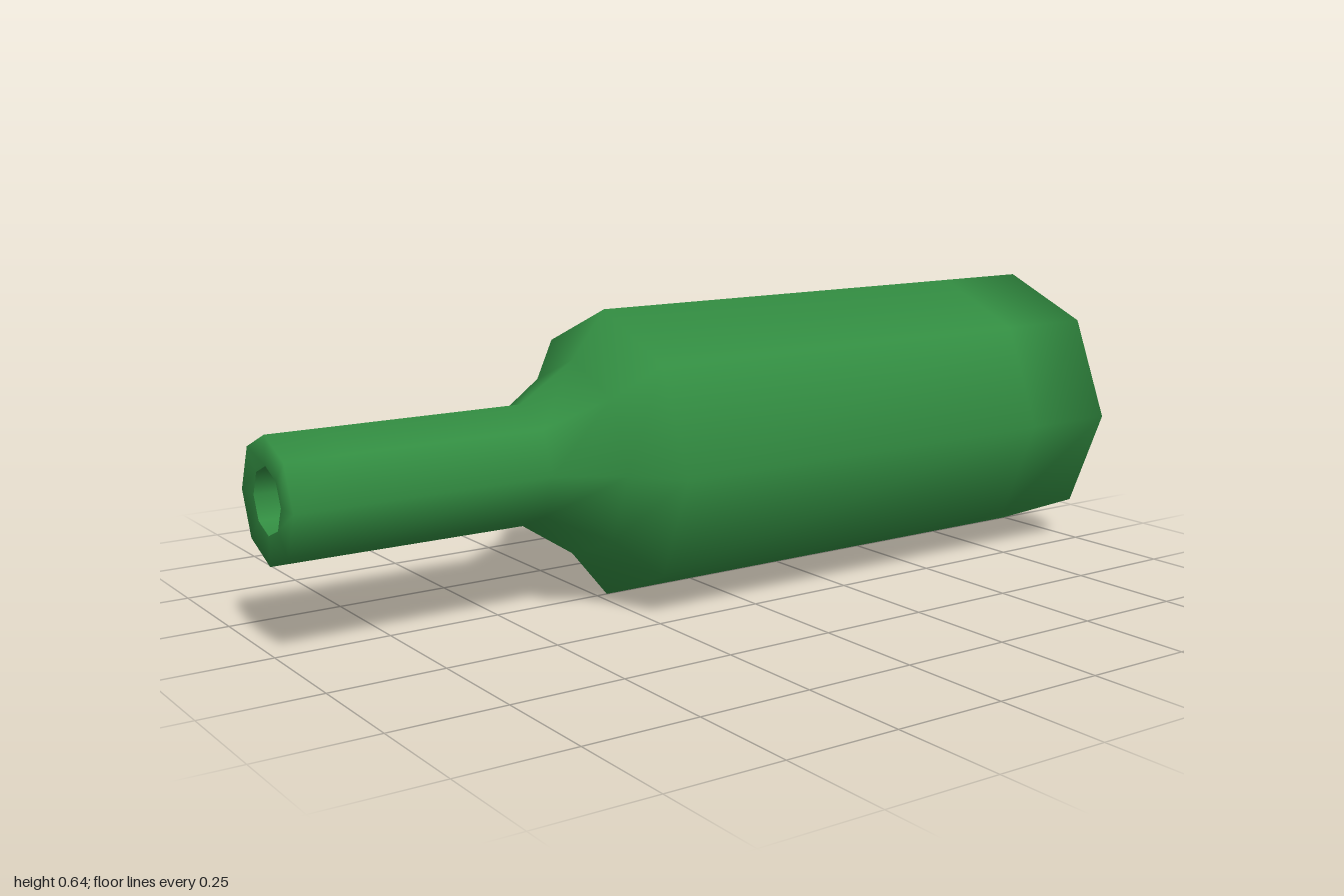
import * as THREE from 'three';

const SIDES = 8;
const RADIUS = 0.318;

// Turns a profile of [x, radius] pairs around the long axis, which lies along x.
function turned(name, profile, material) {
  const points = profile.map(([x, r]) => new THREE.Vector2(r, x));
  const geometry = new THREE.LatheGeometry(points, SIDES);
  geometry.rotateZ(-Math.PI / 2);
  const mesh = new THREE.Mesh(geometry, material);
  mesh.name = name;
  return mesh;
}

export function createModel() {
  const group = new THREE.Group();
  group.name = 'bottle';
  const glass = new THREE.MeshStandardMaterial({ color: 0x328c41 });
  glass.name = 'green glass';

  // Outer shell: lip, neck, two-step shoulder, body and flat base
  const shell = turned('bottleShell', [
    [-1, 0.07],
    [-1, 0.132],
    [-0.88, 0.132],
    [-0.435, 0.132],
    [-0.305, 0.216],
    [-0.225, RADIUS],
    [0.77, RADIUS],
    [1, RADIUS],
    [1, 0],
  ], glass);

  // Hollow mouth inside the neck
  const mouth = turned('mouthBore', [
    [-0.75, 0],
    [-0.75, 0.07],
    [-1, 0.07],
  ], glass);

  group.add(shell, mouth);
  group.children.forEach((part) => { part.position.y = RADIUS; });
  return group;
}
